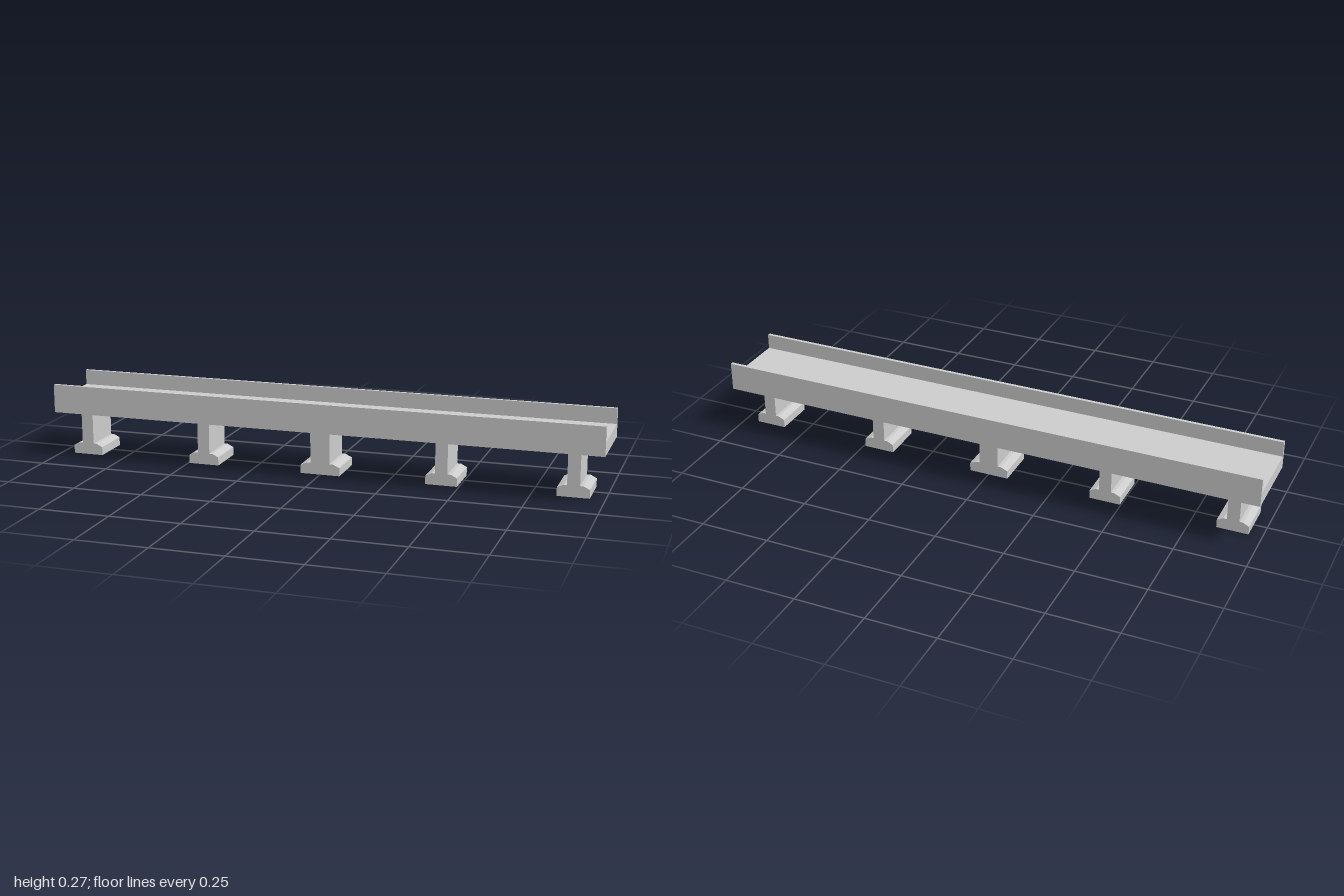
import * as THREE from 'three';

const material = new THREE.MeshStandardMaterial({ color: 0xcccccc, flatShading: true });

// Extrudes an outline given as [x, y] pairs, centred on z = 0
function extrude(name, points, depth) {
  const shape = new THREE.Shape(points.map(([x, y]) => new THREE.Vector2(x, y)));
  const geometry = new THREE.ExtrudeGeometry(shape, { depth, bevelEnabled: false });
  geometry.translate(0, 0, -depth / 2);
  const mesh = new THREE.Mesh(geometry, material);
  mesh.name = name;
  return mesh;
}

// Pier: wide footing with sloped shoulders and a straight stem
function makePier(footHalf, stemHalf) {
  const right = [[footHalf, 0], [footHalf, 0.03], [stemHalf, 0.041], [stemHalf, 0.163]];
  const left = right.map(([x, y]) => [-x, y]).reverse();
  // Shoulder slope ends a little short of the stem
  right.splice(2, 0, [stemHalf + 0.012, 0.041]);
  left.splice(2, 0, [-stemHalf - 0.012, 0.041]);
  return extrude('pier', [...right, ...left], 0.15);
}

export function createModel() {
  const group = new THREE.Group();
  group.name = 'bridge';

  // Deck with a parapet along each edge, one channel-shaped section
  const half = 0.137, inner = 0.1245, bottom = 0.163, road = 0.211, top = 0.266;
  const deck = extrude('deck', [
    [-half, bottom], [half, bottom], [half, top], [inner, top],
    [inner, road], [-inner, road], [-inner, top], [-half, top],
  ], 2);
  deck.rotation.y = Math.PI / 2;
  group.add(deck);

  // Five piers, the middle one thicker, set slightly towards the front
  [-0.897, -0.44, -0.001, 0.437, 0.892].forEach((x, i) => {
    const pier = i === 2 ? makePier(0.072, 0.035) : makePier(0.056, 0.022);
    pier.position.set(x, 0, 0.01);
    group.add(pier);
  });

  return group;
}
